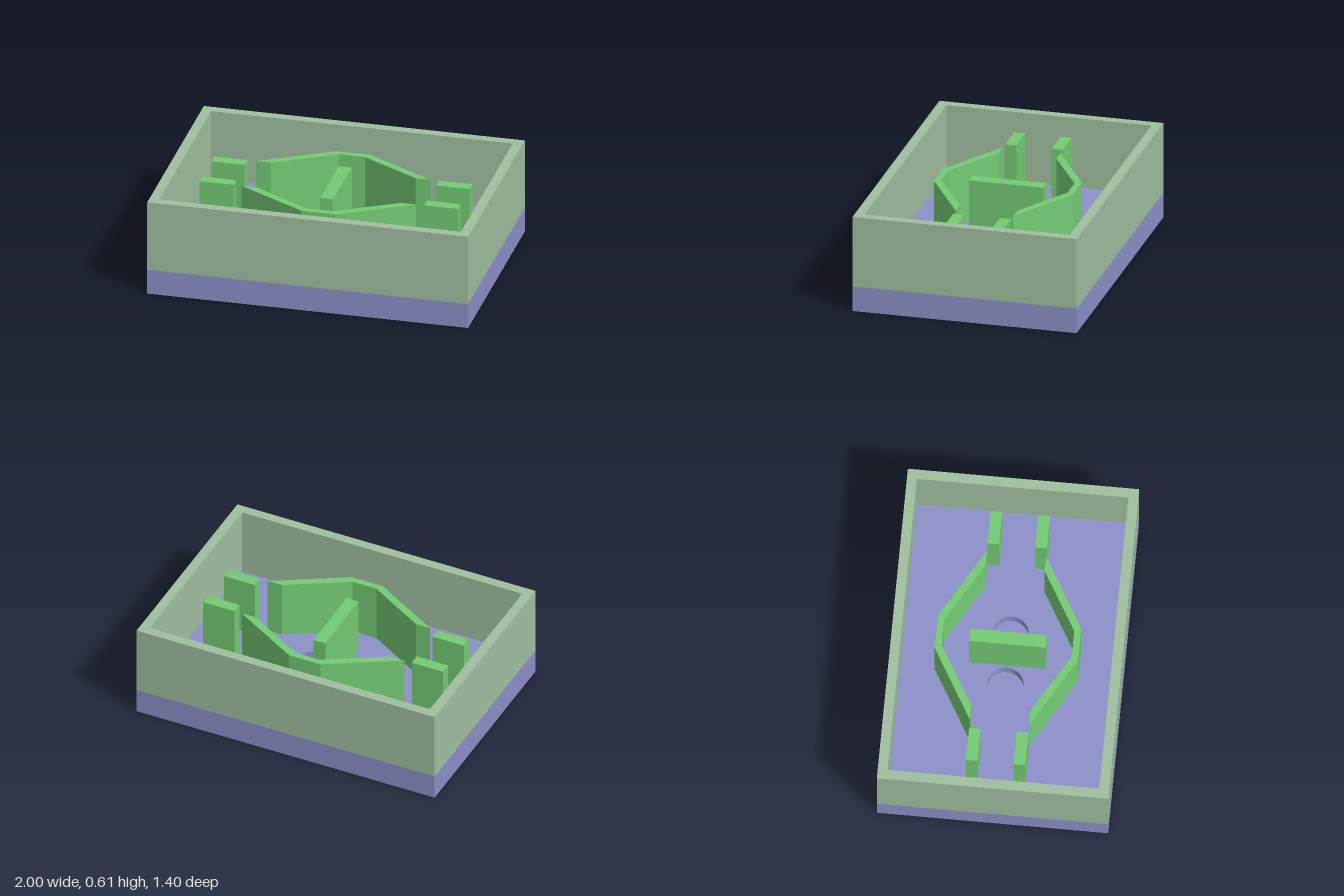
import * as THREE from 'three';

const W = 2, D = 1.405, H = 0.61, WALL = 0.06;
const FLOOR = 0.16, RIB_TOP = 0.534, RECESS = 0.08;

const material = (color) => new THREE.MeshStandardMaterial({ color, flatShading: true });

function rectangle(w, d, Type = THREE.Shape) {
  const s = new Type();
  s.moveTo(-w / 2, -d / 2);
  s.lineTo(w / 2, -d / 2);
  s.lineTo(w / 2, d / 2);
  s.lineTo(-w / 2, d / 2);
  s.closePath();
  return s;
}

// Raises a floor-plan shape from y0 to y1 (plan y points to the back)
function raise(name, shape, y0, y1, mat) {
  const geo = new THREE.ExtrudeGeometry(shape, { depth: y1 - y0, bevelEnabled: false, curveSegments: 48 });
  geo.rotateX(-Math.PI / 2).translate(0, y0, 0);
  const mesh = new THREE.Mesh(geo, mat);
  mesh.name = name;
  return mesh;
}

export function createModel() {
  const model = new THREE.Group();
  model.name = 'openTray';
  const baseMat = material(0x8c90c8);
  const wallMat = material(0x9fbfa0);
  const ribMat = material(0x74ca74);

  // Base slab with two round blind recesses
  const base = new THREE.Group();
  base.name = 'base';
  const deck = rectangle(W, D);
  for (const side of [-1, 1]) {
    const hole = new THREE.Path();
    hole.absarc(side * 0.165, 0, 0.11, 0, Math.PI * 2, true);
    deck.holes.push(hole);
  }
  base.add(raise('baseBottom', rectangle(W, D), 0, FLOOR - RECESS, baseMat));
  base.add(raise('baseDeck', deck, FLOOR - RECESS, FLOOR, baseMat));
  model.add(base);

  // Surrounding wall
  const rim = rectangle(W, D);
  rim.holes.push(rectangle(W - 2 * WALL, D - 2 * WALL, THREE.Path));
  model.add(raise('outerWall', rim, FLOOR, H, wallMat));

  // Centre divider
  model.add(raise('centreDivider', rectangle(0.08, 0.465), FLOOR, RIB_TOP, ribMat));

  // Bent guide walls, front and back
  const half = [[0.545, 0.18], [0.105, 0.435], [0.08, 0.395], [0.45, 0.18]];
  const [tip, outer, inner, foot] = half;
  const flip = ([x, y]) => [-x, y];
  const plan = [tip, outer, flip(outer), flip(tip), flip(foot), flip(inner), inner, foot];
  for (const side of [-1, 1]) {
    const shape = new THREE.Shape(plan.map(([x, y]) => new THREE.Vector2(x, side * y)));
    model.add(raise(side > 0 ? 'backGuideWall' : 'frontGuideWall', shape, FLOOR, RIB_TOP, ribMat));
  }

  // Pairs of guide blocks at each end
  for (const sx of [-1, 1]) {
    for (const sz of [-1, 1]) {
      const block = raise(`${sz > 0 ? 'front' : 'back'}${sx > 0 ? 'Left' : 'Right'}Block`,
        rectangle(0.21, 0.07), FLOOR, RIB_TOP, ribMat);
      block.position.set(sx * 0.7, 0, sz * 0.145);
      model.add(block);
    }
  }
  return model;
}
